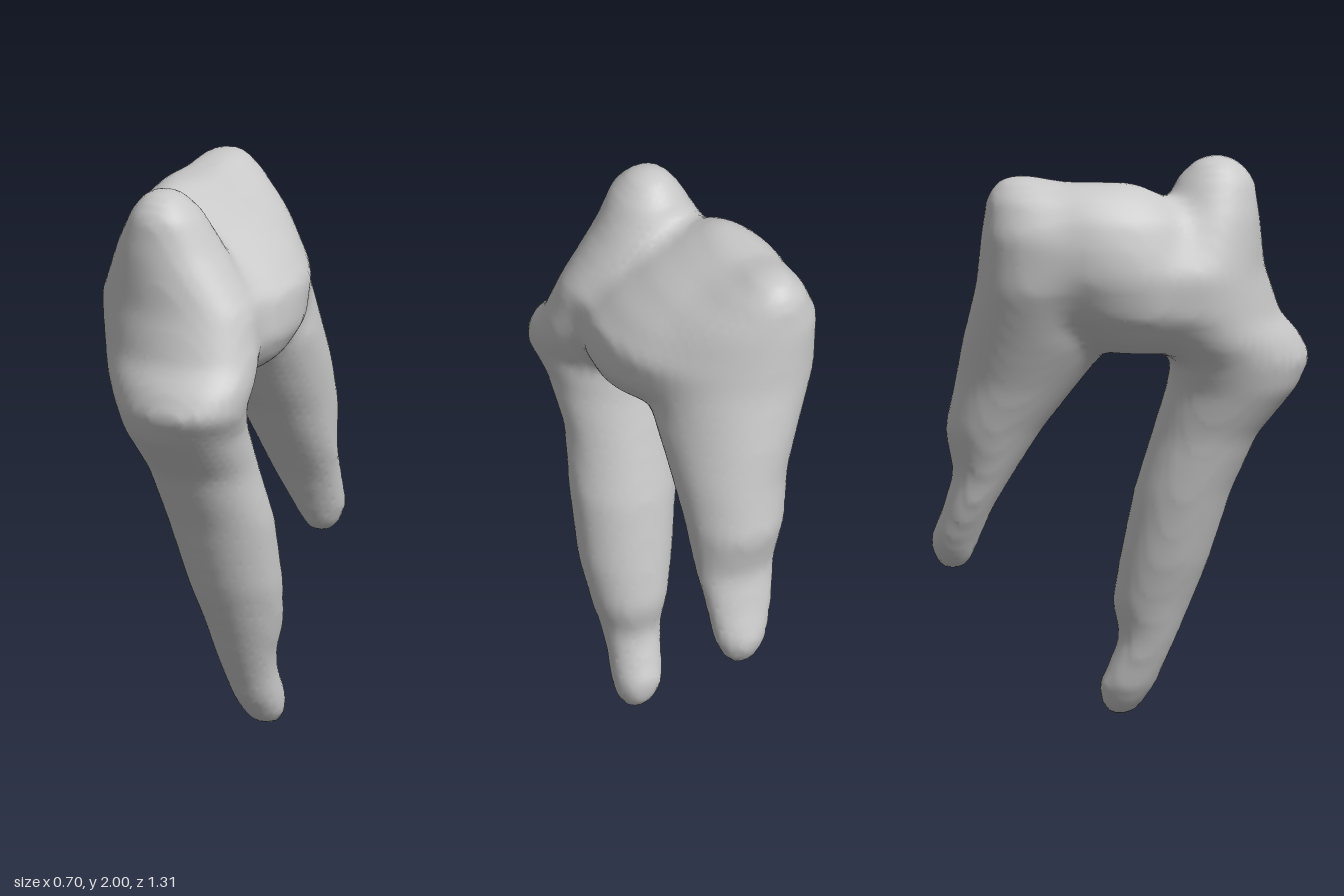
import * as THREE from 'three';

// Horizontal oval sections of each lobe: [y, xMin, xMax, zMin, zMax, skew]
const FRONT = [
  [0.0, 0.17, 0.23, -0.03, 0.03, 0], [0.03, 0.13, 0.26, -0.055, 0.07, 0], [0.1, 0.095, 0.27, -0.075, 0.12, 0],
  [0.2, 0.075, 0.265, -0.03, 0.165, 0], [0.28, 0.06, 0.275, 0.0, 0.2, 0], [0.4, 0.03, 0.305, -0.025, 0.25, 0],
  [0.55, -0.01, 0.325, 0.0, 0.31, 0], [0.8, -0.06, 0.325, 0.05, 0.39, 0], [1.0, -0.09, 0.3, 0.11, 0.48, 0],
  [1.17, -0.14, 0.31, 0.16, 0.62, 0.1], [1.27, -0.185, 0.345, 0.175, 0.665, 0.25], [1.35, -0.235, 0.355, 0.13, 0.625, 0.25],
  [1.43, -0.265, 0.345, 0.1, 0.56, 0.2], [1.6, -0.29, 0.305, 0.08, 0.505, 0.15], [1.8, -0.205, 0.17, 0.14, 0.485, 0],
  [1.92, -0.145, 0.1, 0.2, 0.465, 0], [1.98, -0.1, 0.04, 0.26, 0.41, 0], [2.0, -0.06, 0.0, 0.3, 0.37, 0],
];
const REAR = [
  [0.53, 0.07, 0.13, -0.61, -0.55, 0], [0.56, 0.04, 0.165, -0.64, -0.52, 0], [0.63, 0.0, 0.19, -0.66, -0.49, 0],
  [0.75, -0.05, 0.2, -0.615, -0.44, 0], [0.87, -0.08, 0.21, -0.58, -0.37, 0], [1.03, -0.13, 0.22, -0.61, -0.27, 0],
  [1.2, -0.18, 0.23, -0.575, -0.14, 0], [1.35, -0.24, 0.235, -0.55, -0.02, 0.1], [1.55, -0.32, 0.21, -0.505, 0.0, 0.15],
  [1.75, -0.33, 0.12, -0.485, -0.05, 0.15], [1.87, -0.275, 0.0, -0.465, -0.15, 0.1], [1.92, -0.225, -0.07, -0.43, -0.24, 0],
  [1.935, -0.19, -0.11, -0.39, -0.31, 0],
];
const MIDDLE = [
  [1.32, -0.19, 0.22, -0.13, 0.32, 0], [1.37, -0.255, 0.28, -0.2, 0.37, 0], [1.46, -0.32, 0.325, -0.32, 0.44, 0],
  [1.6, -0.355, 0.32, -0.41, 0.42, 0.05], [1.7, -0.35, 0.24, -0.41, 0.33, 0.05], [1.8, -0.325, 0.12, -0.41, 0.25, 0],
  [1.88, -0.27, -0.02, -0.38, 0.14, 0], [1.92, -0.22, -0.1, -0.33, 0.04, 0],
];

// Approximate distance to a stack of oval sections
function lobe(s, x, y, z) {
  const lo = s[0][0], hi = s[s.length - 1][0];
  const yc = Math.min(Math.max(y, lo), hi);
  let i = 0;
  while (i < s.length - 2 && s[i + 1][0] < yc) i++;
  const t = (yc - s[i][0]) / (s[i + 1][0] - s[i][0]);
  const [x0, x1, z0, z1, skew] = [1, 2, 3, 4, 5].map((c) => THREE.MathUtils.lerp(s[i][c], s[i + 1][c], t));
  const rx = (x1 - x0) / 2, rz = (z1 - z0) / 2;
  const u = (x - (x0 + x1) / 2) / rx, v = (z - (z0 + z1) / 2) / rz;
  const q = Math.sqrt((u * u - 2 * skew * u * v + v * v) / (1 - skew * skew));
  return Math.max((q - 1) * Math.min(rx, rz), lo - y, y - hi);
}

function blend(a, b, k) {
  const h = Math.max(k - Math.abs(a - b), 0) / k;
  return Math.min(a, b) - h * h * k * 0.25;
}

const field = (x, y, z) =>
  blend(blend(lobe(FRONT, x, y, z), lobe(REAR, x, y, z), 0.05), lobe(MIDDLE, x, y, z), 0.06);

// Skin the blended lobes with quads, one vertex per grid cell that is crossed
function skin(min, size, h) {
  const n = size.map((v) => Math.ceil(v / h) + 1);
  const id = (p) => (p[2] * n[1] + p[1]) * n[0] + p[0];
  const each = (from, trim, fn) => {
    for (let k = from; k < n[2] - trim; k++)
      for (let j = from; j < n[1] - trim; j++)
        for (let i = from; i < n[0] - trim; i++) fn([i, j, k]);
  };
  const val = new Float32Array(n[0] * n[1] * n[2]);
  each(0, 0, (p) => { val[id(p)] = field(...p.map((v, a) => min[a] + v * h)); });

  const cell = new Map(), points = [], quads = [];
  each(0, 1, (p) => {
    const sum = new THREE.Vector3();
    let count = 0;
    for (let c = 0; c < 8; c++) for (let a = 0; a < 3; a++) {
      if (c >> a & 1) continue;
      const u = p.map((v, m) => v + (c >> m & 1)), w = u.slice();
      w[a]++;
      const fu = val[id(u)], fw = val[id(w)];
      if ((fu < 0) === (fw < 0)) continue;
      u[a] += fu / (fu - fw);
      sum.add(new THREE.Vector3(...u));
      count++;
    }
    if (!count) return;
    cell.set(id(p), points.length);
    points.push(sum.multiplyScalar(h / count).add(new THREE.Vector3(...min)));
  });

  each(1, 1, (p) => {
    for (let a = 0; a < 3; a++) {
      const w = p.slice();
      w[a]++;
      const inside = val[id(p)] < 0;
      if (inside === (val[id(w)] < 0)) continue;
      const b = (a + 1) % 3, c = (a + 2) % 3;
      const quad = [[1, 1], [0, 1], [0, 0], [1, 0]].map(([db, dc]) => {
        const o = p.slice();
        o[b] -= db;
        o[c] -= dc;
        return cell.get(id(o));
      });
      quads.push(inside ? quad : quad.reverse());
    }
  });
  return { points, quads };
}

// Move each vertex towards (or, if negative, away from) its neighbours' centre
function relax(points, quads, amount) {
  const sums = points.map(() => new THREE.Vector3()), counts = points.map(() => 0);
  for (const q of quads) q.forEach((v, i) => {
    sums[v].add(points[q[(i + 1) % 4]]);
    counts[v]++;
  });
  points.forEach((p, i) => p.lerp(sums[i].divideScalar(counts[i]), amount));
}

export function createModel() {
  const group = new THREE.Group();
  group.name = 'tooth';
  const enamel = new THREE.MeshStandardMaterial({ color: 0xc8c8c8 });
  enamel.name = 'pale grey';

  // Alternate shrinking and growing, which smooths without losing volume
  const { points, quads } = skin([-0.47, -0.08, -0.78], [0.94, 2.16, 1.56], 0.026);
  for (let i = 0; i < 12; i++) {
    relax(points, quads, 0.5);
    relax(points, quads, -0.5);
  }

  const whole = new THREE.BufferGeometry().setFromPoints(points);
  whole.setIndex(quads.flatMap(([a, b, c, d]) => [a, b, c, a, c, d]));
  whole.computeVertexNormals();

  // Crown and the two roots share one continuous smooth surface
  const parts = { crown: [], frontRoot: [], rearRoot: [] };
  for (const [a, b, c, d] of quads) {
    const p = points[a];
    const name = p.y > 1.18 ? 'crown' : p.z > -0.12 ? 'frontRoot' : 'rearRoot';
    parts[name].push(a, b, c, a, c, d);
  }
  for (const [name, index] of Object.entries(parts)) {
    const geometry = new THREE.BufferGeometry();
    geometry.setAttribute('position', whole.getAttribute('position'));
    geometry.setAttribute('normal', whole.getAttribute('normal'));
    geometry.setIndex(index);
    const mesh = new THREE.Mesh(geometry, enamel);
    mesh.name = name;
    group.add(mesh);
  }
  return group;
}
